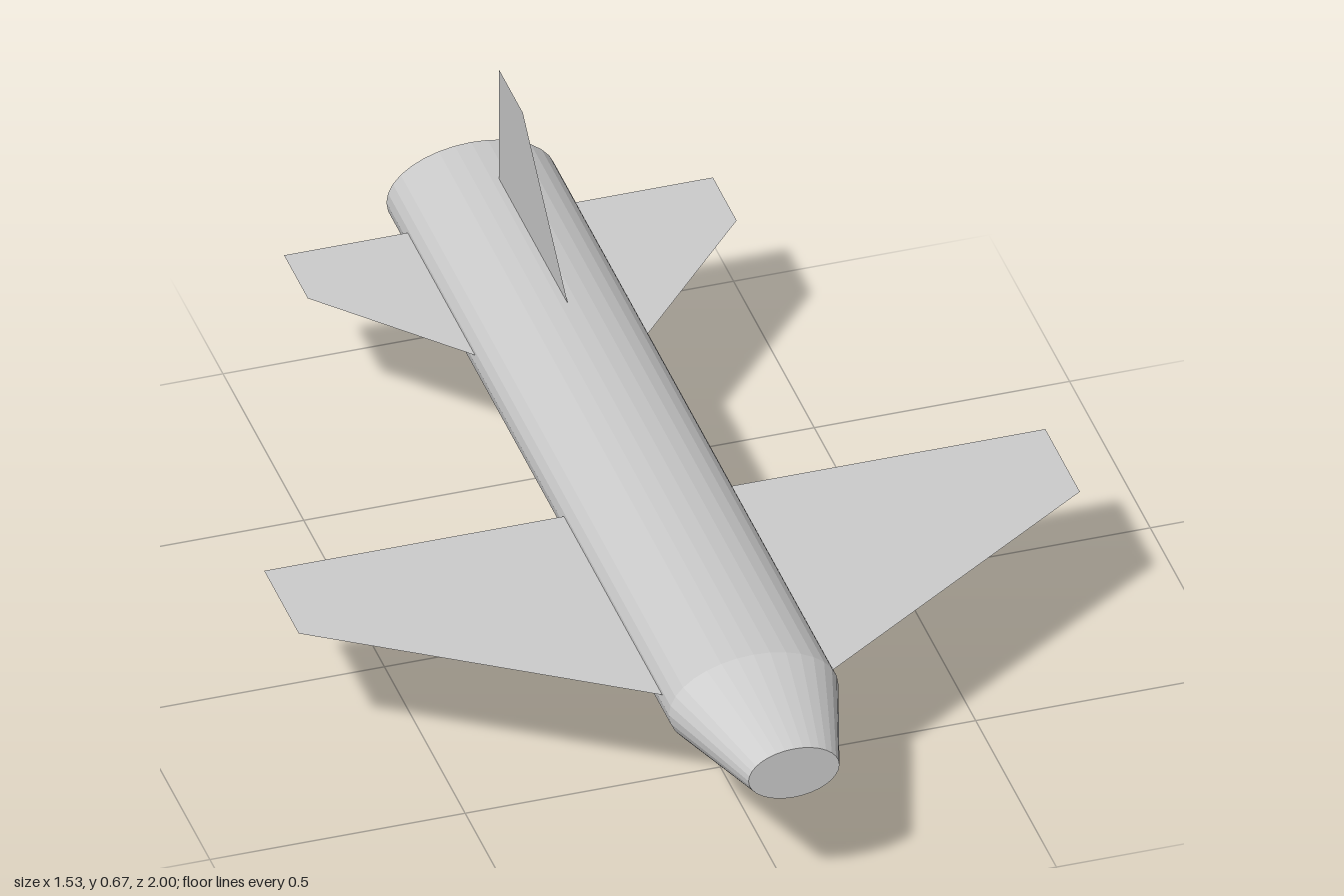
import * as THREE from 'three';

const SIDES = 32;
const AXIS_Y = 0.34; // height of the fin planes

export function createModel() {
  const model = new THREE.Group();
  const solid = new THREE.MeshStandardMaterial({ color: 0xcccccc, flatShading: true });
  const sheet = new THREE.MeshStandardMaterial({ color: 0xcccccc, side: THREE.DoubleSide });

  // Oval tube section: profile of [radius, z], running from back to front
  function tube(name, profile) {
    const points = profile.map(([r, z]) => new THREE.Vector2(r, z));
    const geometry = new THREE.LatheGeometry(points, SIDES);
    geometry.rotateX(Math.PI / 2);
    geometry.scale(1, 0.62, 1);
    const mesh = new THREE.Mesh(geometry, solid);
    mesh.name = name;
    mesh.position.set(-0.014, 0.326, 0);
    model.add(mesh);
  }
  tube('body', [[0, -1], [0.166, -1], [0.166, 0.75]]);
  tube('noseCone', [[0.166, 0.75], [0.089, 1], [0, 1]]);

  // Thin swept fin from the body axis outwards, turned about the z axis
  function fin(name, angle, span, rootFront, tipFront, rear) {
    const shape = new THREE.Shape([
      new THREE.Vector2(0, -rear),
      new THREE.Vector2(span, -rear),
      new THREE.Vector2(span, -tipFront),
      new THREE.Vector2(0, -rootFront),
    ]);
    const geometry = new THREE.ShapeGeometry(shape);
    geometry.rotateX(-Math.PI / 2);
    const mesh = new THREE.Mesh(geometry, sheet);
    mesh.name = name;
    mesh.rotation.z = angle;
    mesh.position.y = AXIS_Y;
    model.add(mesh);
  }
  // Main wings
  fin('leftWing', 0, 0.765, 0.822, 0.307, 0.093);
  fin('rightWing', Math.PI, 0.765, 0.822, 0.307, 0.093);
  // Horizontal tail fins
  fin('leftTailFin', 0, 0.42, -0.258, -0.728, -0.875);
  fin('rightTailFin', Math.PI, 0.42, -0.258, -0.728, -0.875);
  // Vertical tail fins
  fin('upperTailFin', Math.PI / 2, 0.337, -0.347, -0.724, -0.872);
  fin('lowerTailFin', -Math.PI / 2, 0.337, -0.347, -0.724, -0.872);

  return model;
}
